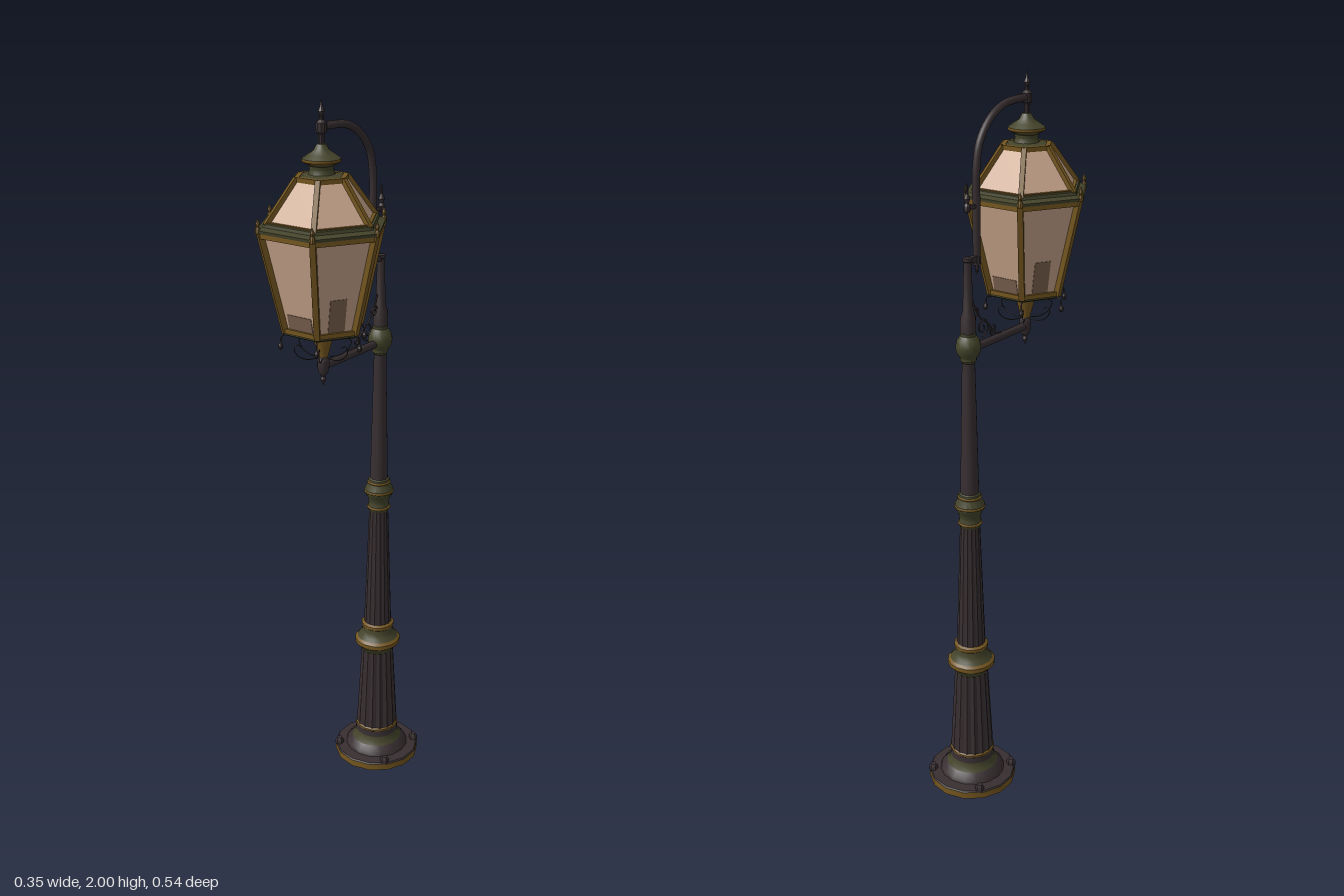
import * as THREE from 'three';
import { toCreasedNormals } from 'three/addons/utils/BufferGeometryUtils.js';

const POLE_Z = -0.143, LAMP_Z = 0.112;
const mat = (name, color) => {
  const m = new THREE.MeshStandardMaterial({ color, side: THREE.DoubleSide });
  m.name = name;
  return m;
};

export function createModel() {
  const iron = mat('dark iron', 0x372e30);
  const green = mat('aged green', 0x45452c);
  const gold = mat('worn gold', 0x74561f);
  const glass = mat('warm glass', 0xc8a58b);
  const shade = mat('smoked glass', 0x7d6350);

  const root = new THREE.Group();
  root.name = 'streetLamp';
  const group = (name, z) => {
    const g = new THREE.Group();
    g.name = name;
    g.position.z = z;
    root.add(g);
    return g;
  };
  const add = (parent, name, geo, material) => {
    const m = new THREE.Mesh(geo, material);
    m.name = name;
    parent.add(m);
    return m;
  };
  // Turned part from [radius, height] pairs, listed bottom to top
  const turned = (parent, name, material, pts, seg = 16, start = 0) => add(parent, name,
    toCreasedNormals(new THREE.LatheGeometry(pts.map(p => new THREE.Vector2(...p)), seg, start), 0.6), material);
  const hex = (parent, name, material, pts) => turned(parent, name, material, pts, 6, Math.PI / 6);
  const V = (x, y, z) => new THREE.Vector3(x, y, z);
  // Square bar between two points of the parent's space
  const bar = (parent, name, a, b, w, material) => {
    const m = add(parent, name, new THREE.BoxGeometry(w, w, a.distanceTo(b)), material);
    m.position.copy(a).lerp(b, 0.5);
    m.quaternion.setFromRotationMatrix(new THREE.Matrix4().lookAt(b, a, V(0, 1, 0)));
    return m;
  };
  const wire = (parent, name, pts, r, material, n = 24, sides = 6) => add(parent, name,
    new THREE.TubeGeometry(new THREE.CatmullRomCurve3(pts), n, r, sides), material);
  const corner = (i, r, y) => {
    const a = Math.PI / 6 + i * Math.PI / 3;
    return V(Math.sin(a) * r, y, Math.cos(a) * r);
  };

  // ---- Base and post ----
  const post = group('post', POLE_Z);
  turned(post, 'baseUnderside', iron, [[0, 0], [0.126, 0]], 14);
  turned(post, 'basePlateEdge', gold, [[0.126, 0], [0.126, 0.02]], 14);
  turned(post, 'basePlateTop', iron, [[0.126, 0.02], [0.123, 0.024], [0.085, 0.027]], 14);
  turned(post, 'baseFlare', iron, [[0.094, 0.025], [0.09, 0.036], [0.074, 0.052]]);
  turned(post, 'baseNeck', green, [[0.074, 0.052], [0.066, 0.066], [0.064, 0.078]]);
  turned(post, 'baseSocket', iron, [[0.064, 0.078], [0.062, 0.1]]);
  turned(post, 'baseRing', gold, [[0.061, 0.095], [0.064, 0.098], [0.064, 0.103], [0.06, 0.107]]);
  for (const sx of [-1, 1]) for (const sz of [-1, 1]) {
    const bolt = turned(post, 'bolt', iron, [[0.013, 0.02], [0.013, 0.034], [0.008, 0.042], [0, 0.044]], 6);
    bolt.position.set(sx * 0.085, 0, sz * 0.077);
  }
  // Fluted shaft: every other vertex is pressed inward
  const fluted = (name, y0, y1, r0, r1, depth) => {
    const g = new THREE.CylinderGeometry(r1, r0, y1 - y0, 32, 1, true);
    const p = g.attributes.position;
    for (let i = 0; i < p.count; i++) {
      const k = (i % 33) % 2 ? 1 - depth : 1;
      p.setX(i, p.getX(i) * k);
      p.setZ(i, p.getZ(i) * k);
    }
    add(post, name, toCreasedNormals(g, 0.3), iron).position.y = (y0 + y1) / 2;
  };
  fluted('lowerShaft', 0.1, 0.37, 0.062, 0.047, 0.08);
  fluted('middleShaft', 0.44, 0.84, 0.041, 0.027, 0.05);
  turned(post, 'lowerCollar', green, [[0.045, 0.355], [0.05, 0.368], [0.064, 0.382], [0.066, 0.395], [0.052, 0.412], [0.046, 0.425], [0.046, 0.45], [0.036, 0.455]]);
  turned(post, 'lowerCollarBand', gold, [[0.062, 0.381], [0.067, 0.385], [0.067, 0.397], [0.06, 0.404]]);
  turned(post, 'lowerCollarLip', gold, [[0.044, 0.436], [0.048, 0.44], [0.048, 0.449], [0.04, 0.454]]);
  turned(post, 'middleCollar', green, [[0.027, 0.815], [0.032, 0.825], [0.028, 0.842], [0.032, 0.858], [0.041, 0.872], [0.041, 0.885], [0.032, 0.9], [0.03, 0.915], [0.022, 0.92]]);
  for (const [y, r] of [[0.828, 0.03], [0.879, 0.039], [0.906, 0.03]]) {
    const ring = add(post, 'middleCollarRing', new THREE.TorusGeometry(r, 0.004, 6, 20), gold);
    ring.rotation.x = Math.PI / 2;
    ring.position.y = y;
  }
  turned(post, 'upperShaft', iron, [[0.026, 0.9], [0.017, 1.3]]);
  turned(post, 'postBall', green, [[0.015, 1.285], [0.022, 1.295], [0.022, 1.302], [0.031, 1.315], [0.034, 1.332], [0.03, 1.35], [0.021, 1.362], [0.022, 1.37], [0.015, 1.375]]);
  turned(post, 'postTop', iron, [[0.021, 1.365], [0.02, 1.41], [0.014, 1.43], [0.01, 1.555], [0.013, 1.558], [0.013, 1.566], [0, 1.569]]);

  // ---- Bracket arms ----
  const arms = group('bracket', 0);
  wire(arms, 'lowerArm', [V(0, 1.322, -0.12), V(0, 1.322, 0), V(0, 1.322, LAMP_Z)], 0.011, iron, 4, 10);
  wire(arms, 'archArm', [V(0, 1.54, -0.104), V(0, 1.68, -0.104), V(0, 1.79, -0.103), V(0, 1.85, -0.088),
    V(0, 1.9, -0.045), V(0, 1.926, 0.01), V(0, 1.932, 0.06), V(0, 1.932, LAMP_Z)], 0.01, iron, 40, 10);
  turned(arms, 'archDrop', iron, [[0, 1.515], [0.004, 1.522], [0.004, 1.535], [0.011, 1.545], [0.011, 1.56], [0.009, 1.57]], 10).position.z = -0.104;
  bar(arms, 'archLink', V(0, 1.558, -0.1), V(0, 1.558, -0.15), 0.014, iron);
  bar(arms, 'finialLink', V(0, 1.692, -0.1), V(0, 1.692, -0.15), 0.01, iron);
  turned(arms, 'sideFinial', iron, [[0, 1.678], [0.009, 1.685], [0.009, 1.698], [0.005, 1.705], [0.009, 1.716], [0.004, 1.728], [0.004, 1.74], [0, 1.757]], 10).position.z = POLE_Z;
  // Wrought scrolls between arm and post
  const scroll = (y, z, r, turn, dir) => wire(arms, 'scroll', Array.from({ length: 15 }, (_, i) => {
    const a = turn + dir * i * 0.62, q = r * (1 - i / 18);
    return V(0, y + Math.sin(a) * q, z + Math.cos(a) * q);
  }), 0.0024, iron, 44, 5);
  scroll(1.368, -0.082, 0.027, -1.6, 1);
  scroll(1.35, -0.035, 0.016, -1.6, -1);
  scroll(1.415, -0.113, 0.016, 3.1, -1);
  wire(arms, 'scrollStem', [V(0, 1.333, 0), V(0, 1.34, -0.03), V(0, 1.37, -0.055), V(0, 1.395, -0.09), V(0, 1.43, -0.115), V(0, 1.46, -0.127)], 0.0024, iron);

  // ---- Lantern ----
  const lamp = group('lantern', LAMP_Z);
  hex(lamp, 'bodyGlass', glass, [[0.1, 1.43], [0.161, 1.69]]);
  hex(lamp, 'roofGlass', glass, [[0.145, 1.705], [0.067, 1.81]]);
  hex(lamp, 'floor', green, [[0, 1.398], [0.03, 1.398], [0.095, 1.415], [0.106, 1.42], [0.107, 1.434], [0.1, 1.436]]);
  hex(lamp, 'rim', green, [[0.158, 1.684], [0.174, 1.686], [0.176, 1.694], [0.158, 1.7], [0.156, 1.708], [0.142, 1.711]]);
  hex(lamp, 'roofCrown', green, [[0.064, 1.802], [0.066, 1.812], [0.05, 1.818], [0.032, 1.82]]);
  for (let i = 0; i < 6; i++) {
    const edge = (name, r, y, w, m) => bar(lamp, name, corner(i, r, y), corner(i + 1, r, y), w, m);
    edge('floorEdge', 0.104, 1.431, 0.012, gold);
    edge('bodyTopEdge', 0.164, 1.68, 0.013, gold);
    edge('roofEdge', 0.145, 1.708, 0.008, gold);
    edge('crownEdge', 0.066, 1.81, 0.012, gold);
    bar(lamp, 'cornerPost', corner(i, 0.103, 1.425), corner(i, 0.166, 1.69), 0.015, gold);
    bar(lamp, 'roofRib', corner(i, 0.15, 1.702), corner(i, 0.067, 1.812), 0.013, gold);

    // Smoked patch low on each pane, taller on the slanting sides
    const face = new THREE.Group();
    face.name = 'panePatch';
    face.rotation.y = i * Math.PI / 3;
    const [w, h] = i % 3 ? [0.045, 0.09] : [0.076, 0.04];
    const y = 1.437 + h / 2;
    const patch = add(face, 'smokedPatch', new THREE.BoxGeometry(w, h, 0.003), shade);
    patch.position.set(0, y, 0.0866 + (y - 1.43) * 0.203);
    patch.rotation.x = 0.2;
    lamp.add(face);

    // Spike above and bead below each corner
    const spike = turned(lamp, 'cornerSpike', gold, [[0.007, 1.685], [0.007, 1.697], [0.004, 1.702], [0.006, 1.71], [0, 1.724]], 8);
    spike.position.copy(corner(i, 0.17, 0));
    wire(lamp, 'beadHook', [corner(i, 0.1, 1.42), corner(i, 0.113, 1.416), corner(i, 0.117, 1.4)], 0.002, iron, 8, 5);
    const bead = turned(lamp, 'bead', iron, [[0, 1.38], [0.006, 1.386], [0.007, 1.393], [0.003, 1.4], [0, 1.406]], 8);
    bead.position.copy(corner(i, 0.117, 0));
    // Curled wire under the floor
    wire(lamp, 'underCurl', [[0.018, 1.345], [0.045, 1.345], [0.07, 1.358], [0.08, 1.378], [0.07, 1.388], [0.06, 1.38]]
      .map(([r, h]) => corner(i, r, h)), 0.0014, iron, 18, 5);
  }

  // Cap, top finial and hanging drop
  turned(lamp, 'cap', green, [[0.036, 1.815], [0.03, 1.83], [0.032, 1.84], [0.047, 1.85], [0.049, 1.857], [0.035, 1.867], [0.02, 1.877], [0.012, 1.892], [0, 1.895]]);
  turned(lamp, 'capBand', gold, [[0.044, 1.847], [0.0495, 1.851], [0.0495, 1.857]]);
  turned(lamp, 'topFinial', iron, [[0.008, 1.885], [0.008, 1.915], [0.014, 1.92], [0.014, 1.943], [0.006, 1.95], [0.005, 1.962], [0.009, 1.97], [0.004, 1.98], [0, 2]], 10);
  turned(lamp, 'dropNeck', gold, [[0.012, 1.345], [0.016, 1.36], [0.024, 1.39], [0.028, 1.405]], 12);
  turned(lamp, 'dropFinial', iron, [[0, 1.268], [0.004, 1.278], [0.008, 1.285], [0.005, 1.294], [0.013, 1.304], [0.016, 1.322], [0.016, 1.338], [0.011, 1.35]], 12);

  return root;
}
